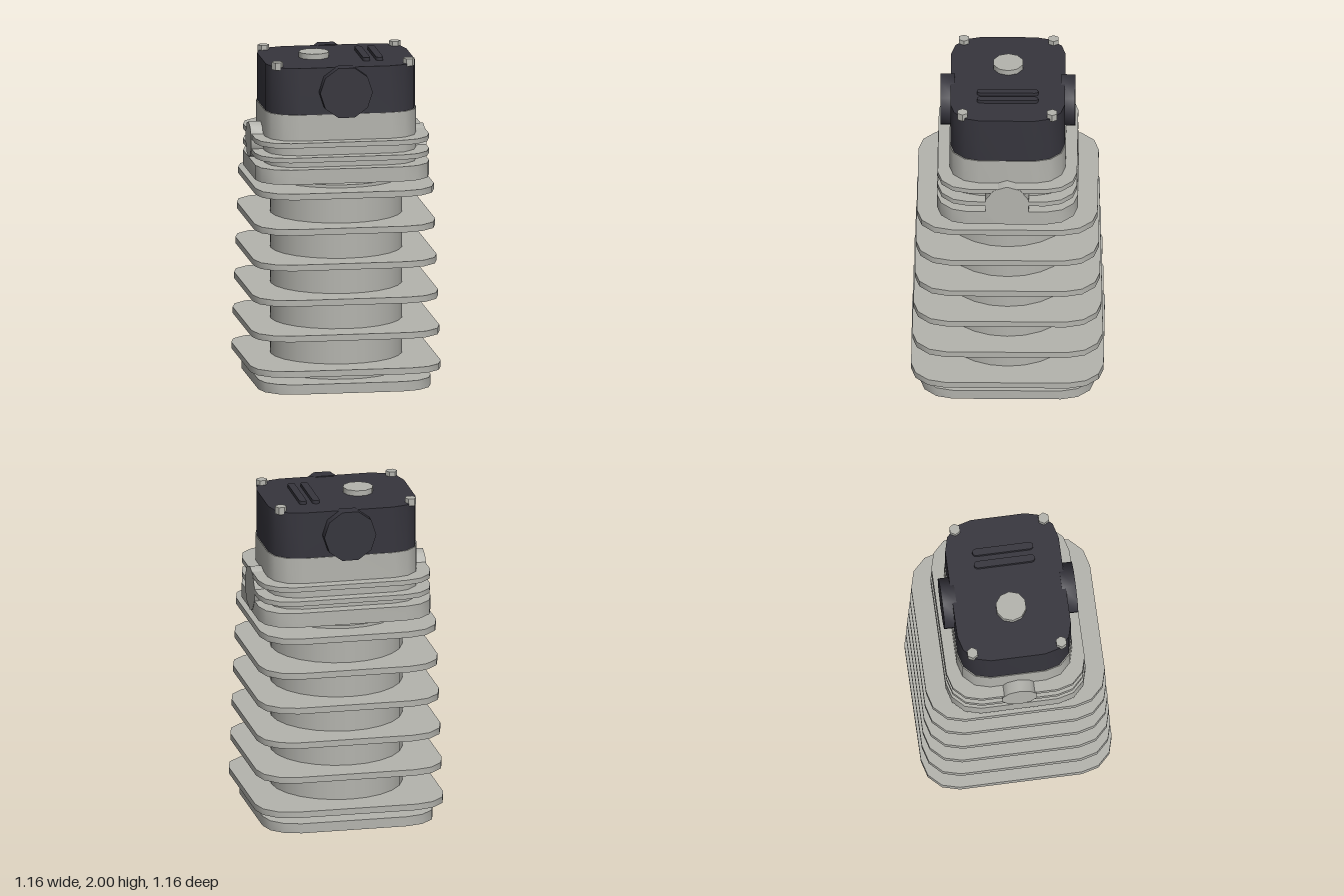
import * as THREE from 'three';
import { toCreasedNormals } from 'three/addons/utils/BufferGeometryUtils.js';

const alloy = new THREE.MeshStandardMaterial({ color: 0xb4b4ae });
alloy.name = 'bare alloy';
const black = new THREE.MeshStandardMaterial({ color: 0x36353d });
black.name = 'black enamel';

// Rounded slab: half sizes hx, hz, corner radius r, from y0 to y1
function slab(hx, hz, r, y0, y1, segments = 3) {
  const points = [];
  const corners = [[1, 1], [-1, 1], [-1, -1], [1, -1]];
  corners.forEach(([sx, sz], i) => {
    for (let k = 0; k <= segments; k++) {
      const a = (i + k / segments) * Math.PI / 2;
      points.push(new THREE.Vector2(sx * (hx - r) + r * Math.cos(a), sz * (hz - r) + r * Math.sin(a)));
    }
  });
  const geo = new THREE.ExtrudeGeometry(new THREE.Shape(points), { depth: y1 - y0, bevelEnabled: false });
  geo.rotateX(-Math.PI / 2).translate(0, y0, 0);
  return toCreasedNormals(geo, 0.7);
}

// Upright disc with a corner on the x axis
function disc(r, h, sides) {
  const geo = new THREE.CylinderGeometry(r, r, h, sides).rotateY(Math.PI / 2);
  return toCreasedNormals(geo, 0.7);
}

export function createModel() {
  const model = new THREE.Group();
  model.name = 'engineCylinder';
  const add = (name, geo, mat, x = 0, y = 0, z = 0) => {
    const mesh = new THREE.Mesh(geo, mat);
    mesh.name = name;
    mesh.position.set(x, y, z);
    model.add(mesh);
  };

  // Barrel with base flange and tapering stack of cooling fins
  add('baseFlange', slab(0.525, 0.525, 0.2, 0, 0.06), alloy);
  add('barrel', new THREE.CylinderGeometry(0.4, 0.4, 1.215, 24), alloy, 0, 0.6475, 0);
  for (let i = 0; i < 6; i++) {
    const y = 0.135 + i * 0.2165;
    const half = 0.58 - i * 0.0073;
    add('barrelFin', slab(half, half, 0.21, y - 0.019, y + 0.019), alloy);
  }

  // Cylinder head with its flange and two fins
  add('headFlange', slab(0.53, 0.425, 0.19, 1.27, 1.36), alloy);
  add('headBody', slab(0.46, 0.35, 0.18, 1.35, 1.68), alloy);
  for (const y of [1.417, 1.507]) add('headFin', slab(0.53, 0.42, 0.19, y - 0.015, y + 0.015), alloy);

  // Side ports
  const port = (r, length) => disc(r, length, 10).rotateZ(Math.PI / 2);
  add('leftPort', port(0.137, 0.132), alloy, 0.466, 1.403, 0);
  add('rightPort', port(0.11, 0.135), alloy, -0.467, 1.472, 0);

  // Valve cover and its front and back inspection caps
  add('valveCover', slab(0.455, 0.345, 0.18, 1.68, 1.967), black);
  for (const s of [-1, 1]) {
    add(s > 0 ? 'frontCap' : 'backCap', disc(0.16, 0.085, 10).rotateX(Math.PI / 2), black, 0, 1.82, s * 0.3635);
  }

  // Filler cap, raised ribs and corner bolts on top
  add('fillerCap', disc(0.093, 0.05, 10), alloy, -0.135, 1.975, 0);
  for (const x of [0.16, 0.24]) add('coverRib', slab(0.022, 0.185, 0.0219, 1.955, 1.988), black, x);
  for (const x of [-0.4, 0.4]) {
    for (const z of [-0.27, 0.27]) add('coverBolt', disc(0.035, 0.045, 6), alloy, x, 1.9735, z);
  }
  return model;
}
